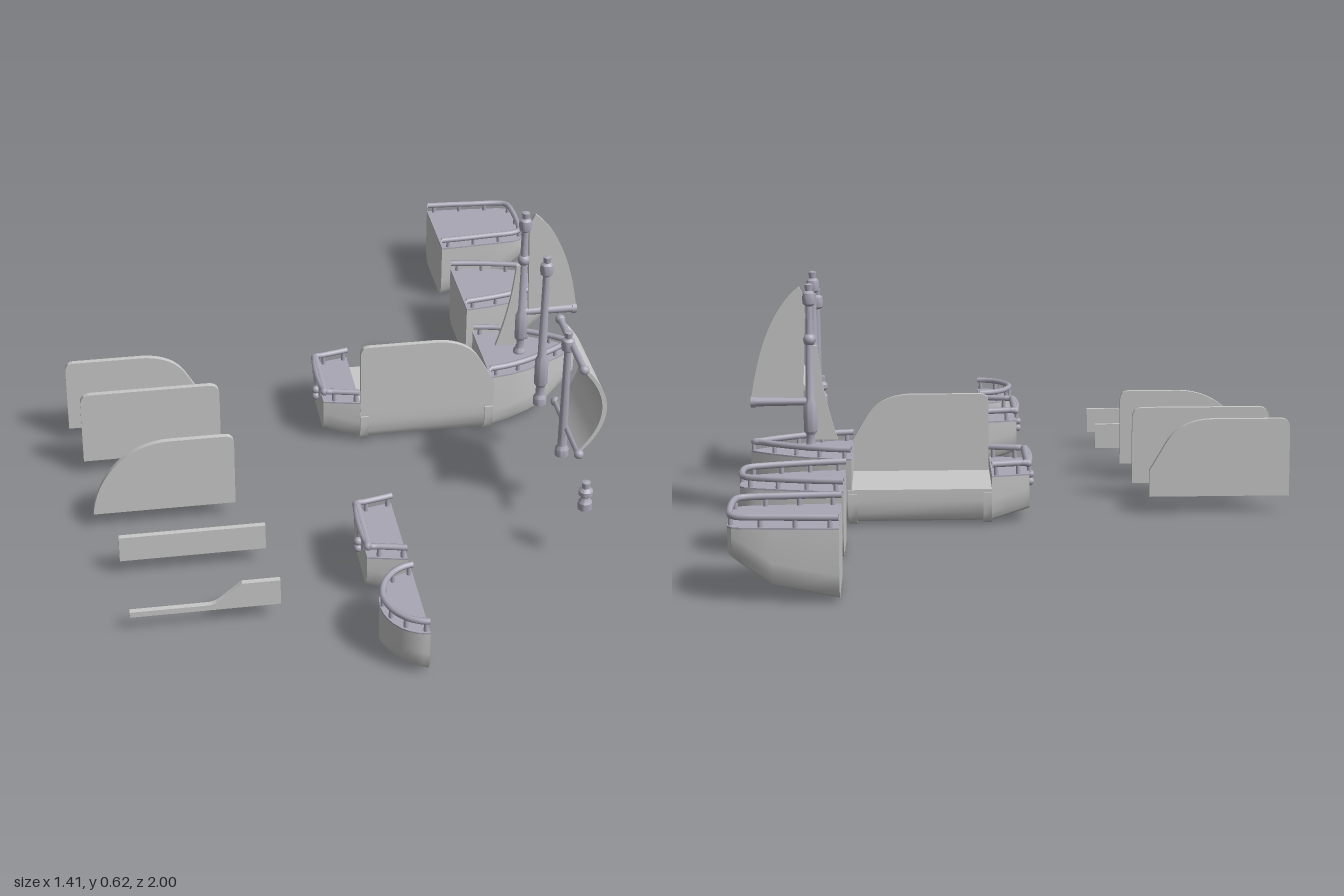
import * as THREE from 'three';
import { toCreasedNormals } from 'three/addons/utils/BufferGeometryUtils.js';

const shell = new THREE.MeshStandardMaterial({ color: 0xc8c8c8, side: THREE.DoubleSide });
shell.name = 'light grey';
const trim = new THREE.MeshStandardMaterial({ color: 0xaaa7b6, side: THREE.DoubleSide });
trim.name = 'violet grey';

function add(parent, name, geometry, material, x = 0, y = 0, z = 0) {
  const m = new THREE.Mesh(geometry, material);
  m.name = name;
  m.position.set(x, y, z);
  parent.add(m);
  return m;
}

function group(parent, name, x = 0, y = 0, z = 0) {
  const g = new THREE.Group();
  g.name = name;
  g.position.set(x, y, z);
  parent.add(g);
  return g;
}

// Round-bottomed hull lofted along x; each station is [x, half width, bottom, top]
function hullGeometry(stations) {
  const rings = [...stations].sort((a, b) => a[0] - b[0]).map(([x, w, b, t]) => {
    const m = Math.min(0.06, (t - b) * 0.75);
    const half = [[1, t], [1, b + m], [0.97, b + m * 0.45], [0.88, b + m * 0.14], [0.7, b]];
    const other = half.map(([k, y]) => [-k, y]).reverse();
    return half.concat(other).map(([k, y]) => [x, y, k * w]);
  });
  const n = rings[0].length, pos = [];
  const tri = (...p) => p.forEach(v => pos.push(...v));
  for (let i = 0; i < rings.length - 1; i++) {
    for (let j = 0; j < n; j++) {
      const k = (j + 1) % n, A = rings[i], B = rings[i + 1];
      tri(A[j], A[k], B[j]);
      tri(A[k], B[k], B[j]);
    }
  }
  const first = rings[0], last = rings[rings.length - 1];
  for (let j = 1; j < n - 1; j++) {
    tri(first[0], first[j + 1], first[j]);
    tri(last[0], last[j], last[j + 1]);
  }
  const g = new THREE.BufferGeometry();
  g.setAttribute('position', new THREE.Float32BufferAttribute(pos, 3));
  return toCreasedNormals(g, 0.6);
}

// Bow or stern: hull, deck plate, rail and posts from a half outline [x, half width]
function hullEnd(parent, name, z, outline, bottomAt, top, railY, posts) {
  const g = group(parent, name, 0, 0, z);
  add(g, 'hull', hullGeometry(outline.map(([x, w]) => [x, w, bottomAt(x), top])), shell);

  const loop = outline.concat([...outline].reverse().map(([x, w]) => [x, -w]));
  const plan = new THREE.Shape(loop.map(([x, w]) => new THREE.Vector2(x, -w)));
  const deck = new THREE.ExtrudeGeometry(plan, { depth: 0.004, bevelEnabled: false });
  add(g, 'deck', deck.rotateX(-Math.PI / 2), trim, 0, top, 0);

  const cx = outline[0][0];
  const pts = loop.map(([x, w]) => new THREE.Vector3(
    x - Math.sign(x - cx) * 0.007, railY, Math.sign(w) * Math.max(Math.abs(w) - 0.008, 0.001)));
  const path = new THREE.CatmullRomCurve3(pts);
  add(g, 'rail', new THREE.TubeGeometry(path, 72, 0.008, 8), trim);
  for (let i = 0; i < posts; i++) {
    const p = path.getPointAt(0.03 + 0.94 * i / (posts - 1));
    add(g, 'railPost', new THREE.CylinderGeometry(0.005, 0.006, railY - top, 8), trim,
      p.x, (railY + top) / 2, p.z);
  }
  return g;
}

// Thin upright board from a shape
function board(parent, name, shape, x, y, z, depth = 0.014) {
  const g = new THREE.ExtrudeGeometry(shape, { depth, bevelEnabled: false, curveSegments: 16 });
  return add(parent, name, toCreasedNormals(g.translate(0, 0, -depth / 2), 0.5), shell, x, y, z);
}

function lathe(parent, name, profile, x, y, z) {
  const g = new THREE.LatheGeometry(profile.map(p => new THREE.Vector2(...p)), 20);
  return add(parent, name, toCreasedNormals(g, 0.6), trim, x, y, z);
}

// Turned mast with foot, sleeve and ball finial, h measured from its foot
function mast(parent, h, sleeve = true) {
  const low = sleeve
    ? [[0.012, 0.03], [0.012, 0.055], [0.018, 0.065], [0.018, 0.135], [0.012, 0.15]]
    : [[0.012, 0.03], [0.012, 0.06]];
  lathe(parent, 'mast', [[0, 0], [0.018, 0], [0.018, 0.02], ...low,
    [0.009, h - 0.06], [0.016, h - 0.054], [0.018, h - 0.04], [0.016, h - 0.026],
    [0.009, h - 0.02], [0.011, h - 0.004], [0, h]], 0, 0, 0);
}

export function createModel() {
  const root = new THREE.Group();
  root.name = 'shipPlaySet';

  // Bows: pointed, tapered and square
  const bowBottom = x => x < 0.6 ? 0.01 + (x - 0.44) * 0.19 : 0.04 + (x - 0.6) * 0.7;
  const bows = [
    ['pointedBow', -0.137, [[0.44, 0.121], [0.5, 0.111], [0.55, 0.094], [0.6, 0.07], [0.65, 0.041], [0.685, 0.016], [0.702, 0.003]]],
    ['taperedBow', -0.507, [[0.45, 0.121], [0.52, 0.112], [0.6, 0.095], [0.66, 0.078], [0.69, 0.066], [0.702, 0.05]]],
    ['squareBow', -0.877, [[0.45, 0.122], [0.52, 0.119], [0.6, 0.113], [0.67, 0.108], [0.692, 0.1], [0.702, 0.084]]],
  ];
  bows.forEach(([name, z, o]) => hullEnd(root, name, z, o, bowBottom, 0.178, 0.205, 9));

  // Sterns: two flat-backed, one round
  const sternBottom = x => 0.01 + (0.08 - x) * 0.28;
  const flat = [[0.08, 0.121], [0.04, 0.113], [0, 0.104], [-0.018, 0.1]];
  const round = [0, 0.15, 0.3, 0.5, 0.65, 0.8, 0.9, 0.97, 0.998]
    .map(t => [0.08 - 0.1 * t, 0.121 * Math.sqrt(1 - t * t)]);
  for (const z of [-0.137, 0.582]) {
    const s = hullEnd(root, 'flatStern', z, flat, sternBottom, 0.13, 0.162, 7);
    const bar = add(s, 'sternBar', new THREE.CapsuleGeometry(0.011, 0.18, 4, 10), trim, -0.014, 0.16, 0);
    bar.rotation.x = Math.PI / 2;
    for (const y of [0.092, 0.112]) {
      add(s, 'rudderFitting', new THREE.SphereGeometry(0.011, 12, 8), trim, -0.024, y, 0);
    }
  }
  hullEnd(root, 'roundStern', 0.877, round, sternBottom, 0.13, 0.162, 7);

  // Middle hull with two ribs and its side board
  const middle = group(root, 'middleHull', 0, 0, -0.137);
  add(middle, 'hull', hullGeometry([[0.08, 0.121, 0.01, 0.1], [0.45, 0.121, 0.01, 0.1]]), shell);
  for (const x of [0.08, 0.426]) {
    add(middle, 'rib', hullGeometry([[x, 0.126, 0.005, 0.09], [x + 0.022, 0.126, 0.005, 0.09]]), shell);
  }

  // Board outlines, lower left corner at the origin
  const L = 0.369, H = 0.206;
  const sloped = new THREE.Shape();
  sloped.moveTo(0, 0).lineTo(L, 0).lineTo(L, 0.07).lineTo(0.325, 0.145);
  sloped.quadraticCurveTo(0.292, 0.202, 0.21, H).lineTo(0.025, H).quadraticCurveTo(0, H, 0, H - 0.025);
  const rounded = new THREE.Shape();
  rounded.moveTo(0, 0).lineTo(L, 0).lineTo(L, H - 0.03).quadraticCurveTo(L, H, L - 0.03, H);
  rounded.lineTo(0.03, H).quadraticCurveTo(0, H, 0, H - 0.03);
  const arched = new THREE.Shape();
  arched.moveTo(0, 0).lineTo(L, 0).lineTo(L, H - 0.025).quadraticCurveTo(L, H, L - 0.025, H);
  arched.lineTo(0.205, H).bezierCurveTo(0.09, H, 0.01, 0.11, 0, 0);
  const low = new THREE.Shape();
  low.moveTo(0, 0).lineTo(L, 0).lineTo(L, 0.07).lineTo(0, 0.07);
  const stepped = new THREE.Shape();
  stepped.moveTo(0, 0).lineTo(L, 0).lineTo(L, 0.071).lineTo(0.275, 0.071);
  stepped.lineTo(0.22, 0.025).quadraticCurveTo(0.205, 0.015, 0.19, 0.015).lineTo(0, 0.015);

  board(root, 'mountedSideBoard', sloped, 0.081, 0.1, -0.023);
  board(root, 'slopedBoard', sloped, -0.706, 0.05, -0.145);
  board(root, 'roundedBoard', rounded, -0.676, 0.05, 0.022);
  board(root, 'archedBoard', arched, -0.666, 0.05, 0.272);
  board(root, 'lowBoard', low, -0.614, 0.05, 0.485);
  board(root, 'steppedBoard', stepped, -0.607, 0.05, 0.718);

  // Mast with fore and aft sails
  const X = 0.547, Y = 0.168;
  const sailing = group(root, 'triangularSailMast', X, Y, -0.137);
  mast(sailing, 0.452);
  add(sailing, 'mastBall', new THREE.SphereGeometry(0.017, 16, 10), trim, 0, 0.305, 0);
  const boom = add(sailing, 'boom', new THREE.CylinderGeometry(0.01, 0.012, 0.155, 14), trim, 0.077, 0.142, 0);
  boom.rotation.z = Math.PI / 2;
  add(sailing, 'boomEnd', new THREE.CylinderGeometry(0.015, 0.015, 0.012, 14).rotateZ(Math.PI / 2), trim, 0.147, 0.142, 0);
  const fore = new THREE.Shape();
  fore.moveTo(0.018, 0.152).lineTo(0.152, 0.155).quadraticCurveTo(0.12, 0.37, 0.026, 0.443);
  fore.quadraticCurveTo(0.008, 0.42, 0.012, 0.36);
  board(sailing, 'foreSail', fore, 0, 0, 0, 0.01);
  const aft = new THREE.Shape();
  aft.moveTo(-0.07, 0.042).lineTo(-0.008, 0.042).lineTo(-0.008, 0.29).lineTo(-0.02, 0.288);
  aft.quadraticCurveTo(-0.03, 0.16, -0.07, 0.042);
  board(sailing, 'aftSail', aft, 0, 0, 0, 0.01);

  // Plain mast
  mast(group(root, 'plainMast', X, Y, 0.11), 0.452);

  // Mast with two yards and a billowing square sail
  const square = group(root, 'squareSailMast', X, Y, 0.36);
  mast(square, 0.372, false);
  const billow = new THREE.Shape();
  billow.moveTo(0.012, 0.08).quadraticCurveTo(0.142, 0.207, 0.012, 0.334);
  billow.lineTo(0.004, 0.33).quadraticCurveTo(0.126, 0.207, 0.004, 0.084);
  const cloth = new THREE.ExtrudeGeometry(billow, { depth: 0.24, bevelEnabled: false, curveSegments: 20 });
  add(square, 'squareSail', toCreasedNormals(cloth.translate(0, 0, -0.12), 0.5), shell);
  for (const y of [0.082, 0.332]) {
    const yard = add(square, 'yard', new THREE.CylinderGeometry(0.009, 0.009, 0.26, 14), trim, 0.01, y, 0);
    yard.rotation.x = Math.PI / 2;
    for (const s of [-1, 1]) {
      add(square, 'yardEnd', new THREE.SphereGeometry(0.013, 12, 8), trim, 0.01, y, s * 0.126);
    }
  }

  // Short bollard
  lathe(root, 'shortPost', [[0, 0], [0.018, 0], [0.018, 0.02], [0.011, 0.03], [0.01, 0.035],
    [0.018, 0.043], [0.018, 0.054], [0.01, 0.062], [0.011, 0.078], [0, 0.082]], X, Y, 0.605);

  return root;
}
